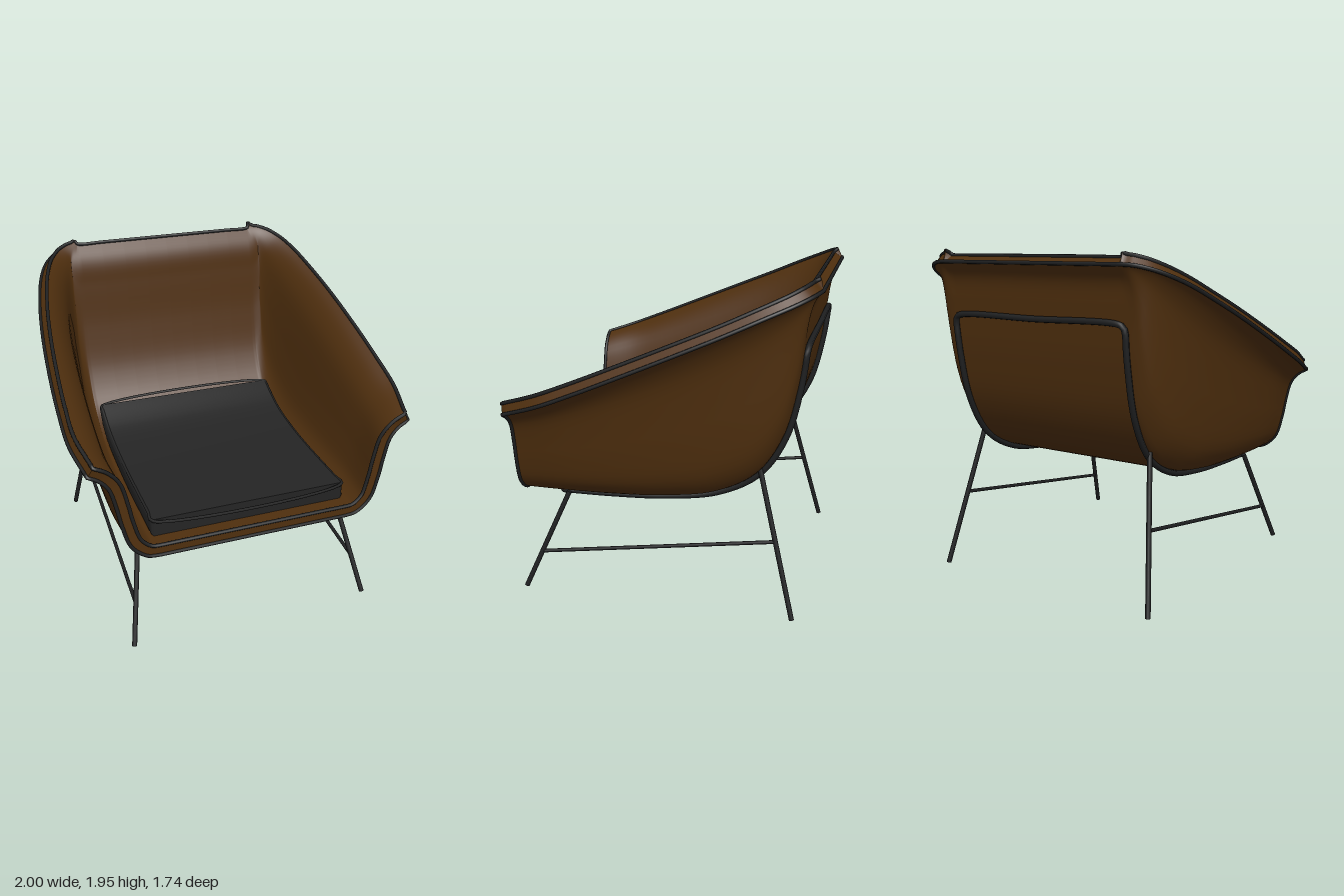
import * as THREE from 'three';
import { toCreasedNormals } from 'three/addons/utils/BufferGeometryUtils.js';

const V = (x, y, z) => new THREE.Vector3(x, y, z);
const mat = (name, color, side = THREE.FrontSide) => {
  const m = new THREE.MeshStandardMaterial({ color, side });
  m.name = name;
  return m;
};

// Centre line of the shell (z, y), from the front edge to the top of the back
const profile = new THREE.CatmullRomCurve3([
  [0.86, 0.615], [0.6, 0.618], [0.3, 0.625], [0, 0.645], [-0.3, 0.7], [-0.53, 0.83],
  [-0.67, 1.05], [-0.745, 1.35], [-0.78, 1.64], [-0.8, 1.79], [-0.855, 1.88],
].map(([z, y]) => V(0, y, z)));

// Side rim (x, y, z), in step with the centre line
const rimLine = new THREE.CatmullRomCurve3([
  [0.94, 1.175, 0.84], [0.985, 1.25, 0.62], [0.99, 1.335, 0.41], [0.98, 1.455, 0.13],
  [0.955, 1.585, -0.17], [0.92, 1.685, -0.4], [0.87, 1.775, -0.6], [0.81, 1.83, -0.73],
  [0.74, 1.862, -0.805], [0.67, 1.877, -0.842], [0.61, 1.88, -0.855],
].map((p) => V(...p)));

// Cross-section of a side wall: outward share, upward share
const wall = new THREE.CatmullRomCurve3([
  [0, 0], [0.18, 0.02], [0.42, 0.16], [0.54, 0.4], [0.61, 0.62], [0.7, 0.83], [0.84, 0.94], [1, 1],
].map(([a, b]) => V(a, b, 0)));

const HALF = 0.58; // half width of the flat middle strip
const ROWS = 64, SIDE = 24, MID = 8;
const THICK = 0.065;

function shellPoint(t, j) {
  const p = profile.getPoint(t), r = rimLine.getPoint(t);
  if (j > SIDE && j < SIDE + MID) return V(HALF * ((2 * (j - SIDE)) / MID - 1), p.y, p.z);
  const left = j >= SIDE + MID;
  const w = wall.getPoint(left ? (j - SIDE - MID) / SIDE : (SIDE - j) / SIDE);
  const x = HALF + (r.x - HALF) * w.x;
  return V(left ? x : -x, p.y + (r.y - p.y) * w.y, p.z + (r.z - p.z) * w.y);
}

// Surface through rows of points
function grid(rows, flip = false) {
  const n = rows[0].length, index = [];
  for (let i = 0; i < rows.length - 1; i++) {
    for (let j = 0; j < n - 1; j++) {
      const a = i * n + j, b = a + 1, c = a + n, d = c + 1;
      if (flip) index.push(a, c, b, b, c, d);
      else index.push(a, b, c, b, d, c);
    }
  }
  const g = new THREE.BufferGeometry().setFromPoints(rows.flat());
  g.setIndex(index);
  g.computeVertexNormals();
  return g;
}

// Boundary of a grid of points, all the way round
function boundary(rows) {
  const last = rows[0].length - 1;
  return [
    ...rows[0],
    ...rows.slice(1, -1).map((r) => r[last]),
    ...[...rows[rows.length - 1]].reverse(),
    ...rows.slice(1, -1).reverse().map((r) => r[0]),
  ];
}

// Tube through points, skipping crowded ones
function tube(points, radius, closed, segments, sides = 8) {
  const kept = [];
  for (const p of points) {
    if (!kept.length || p.distanceTo(kept[kept.length - 1]) > 0.018) kept.push(p);
  }
  if (closed && kept[0].distanceTo(kept[kept.length - 1]) < 0.018) kept.pop();
  return new THREE.TubeGeometry(new THREE.CatmullRomCurve3(kept, closed), segments, radius, sides, closed);
}

export function createModel() {
  const group = new THREE.Group();
  const leather = mat('brown leather', 0x4f2f0e);
  const leatherEdge = mat('brown leather edge', 0x4f2f0e, THREE.DoubleSide);
  const fabric = mat('charcoal fabric', 0x242424);
  const metal = mat('black metal', 0x1e1f20);
  const add = (name, geometry, material) => {
    const mesh = new THREE.Mesh(geometry, material);
    mesh.name = name;
    group.add(mesh);
    return mesh;
  };

  // Shell: outer skin, inner skin offset along the normals, and the edge band
  const outer = [];
  for (let i = 0; i <= ROWS; i++) {
    outer.push(Array.from({ length: 2 * SIDE + MID + 1 }, (_, j) => shellPoint(i / ROWS, j)));
  }
  const normals = grid(outer).getAttribute('normal');
  const inner = outer.map((row, i) => row.map((p, j) =>
    p.clone().addScaledVector(V(0, 0, 0).fromBufferAttribute(normals, i * row.length + j), THICK)));
  add('shellOutside', grid(outer, true), leather);
  add('shellInside', grid(inner), leather);
  const outerEdge = boundary(outer), innerEdge = boundary(inner);
  add('shellEdge', grid([[...outerEdge, outerEdge[0]], [...innerEdge, innerEdge[0]]]), leatherEdge);

  // Piping along both edges of the shell
  add('outerPiping', tube(outerEdge, 0.011, true, 400), metal);
  add('innerPiping', tube(innerEdge, 0.011, true, 400), metal);

  // Seat cushion, curving up towards the back
  const under = [[0.77, 0.68], [0.3, 0.685], [0, 0.71], [-0.22, 0.75], [-0.36, 0.82]];
  const top = [[-0.39, 0.95], [-0.2, 0.865], [0, 0.822], [0.3, 0.797], [0.77, 0.79]];
  const v2 = (a) => a.map(([z, y]) => new THREE.Vector2(z, y));
  const side = new THREE.Shape();
  side.moveTo(...under[0]);
  side.splineThru(v2(under.slice(1)));
  side.lineTo(...top[0]);
  side.splineThru(v2(top.slice(1)));
  const cushion = new THREE.ExtrudeGeometry(side, {
    depth: 1.14, bevelEnabled: true, bevelSize: 0.025, bevelOffset: -0.025,
    bevelThickness: 0.025, bevelSegments: 4, curveSegments: 20,
  });
  cushion.rotateY(-Math.PI / 2).translate(0.57, 0, 0);
  add('seatCushion', toCreasedNormals(cushion, 0.7), fabric);

  // Cushion piping round the top face
  const topCurve = new THREE.SplineCurve(v2(top)).getPoints(16);
  const seam = [
    ...topCurve.map((p) => V(0.583, p.y - 0.008, p.x)),
    ...[...topCurve].reverse().map((p) => V(-0.583, p.y - 0.008, p.x)),
  ];
  add('cushionPiping', tube(seam, 0.009, true, 160, 6), fabric);

  // Frame loop hugging the underside and back of the shell
  const rail = [];
  for (let t = 0.085; t <= 0.762; t += 0.025) {
    const p = profile.getPoint(t), d = profile.getTangent(t);
    rail.push(V(0.595, p.y + d.z * 0.014, p.z - d.y * 0.014));
  }
  const last = rail[rail.length - 1], first = rail[0];
  const loop = [
    ...rail,
    V(0.585, last.y + 0.03, last.z - 0.004), V(0.55, last.y + 0.045, last.z - 0.006),
    V(0, last.y + 0.045, last.z - 0.006),
    V(-0.55, last.y + 0.045, last.z - 0.006), V(-0.585, last.y + 0.03, last.z - 0.004),
    ...[...rail].reverse().map((p) => V(-p.x, p.y, p.z)),
    V(-0.56, first.y, first.z + 0.02), V(0, first.y, first.z + 0.02), V(0.56, first.y, first.z + 0.02),
  ];
  add('frameLoop', tube(loop, 0.018, true, 240), metal);

  // Legs and side braces, mirrored
  const rod = (name, a, b, r) => {
    const mesh = add(name, new THREE.CylinderGeometry(r, r, a.distanceTo(b), 12), metal);
    mesh.position.copy(a).add(b).multiplyScalar(0.5);
    mesh.quaternion.setFromUnitVectors(V(0, 1, 0), b.clone().sub(a).normalize());
  };
  for (const [label, s] of [['left', 1], ['right', -1]]) {
    rod(label + 'FrontLeg', V(s * 0.74, 0.004, 0.855), V(s * 0.625, 0.61, 0.595), 0.015);
    rod(label + 'BackLeg', V(s * 0.74, 0.004, -0.775), V(s * 0.605, 0.86, -0.55), 0.015);
    rod(label + 'Brace', V(s * 0.697, 0.228, 0.76), V(s * 0.67, 0.45, -0.656), 0.011);
  }
  return group;
}
